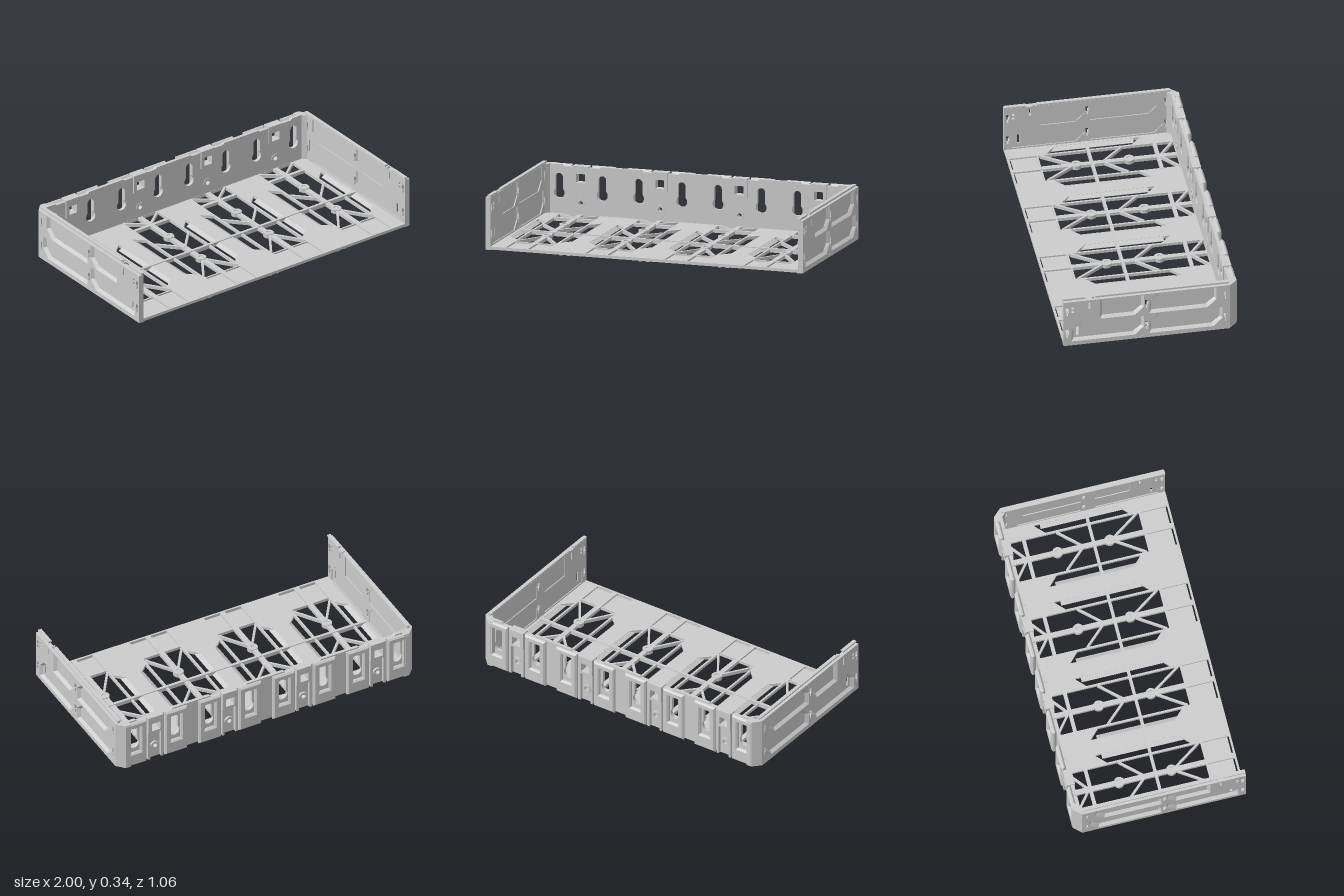
import * as THREE from 'three';

const MAT = new THREE.MeshStandardMaterial({ color: 0xcccccc, flatShading: true, side: THREE.DoubleSide });
const CELLS = [-0.75, -0.25, 0.25, 0.75];
const SIDES = [-1, 1];

function add(parent, name, geo, x = 0, y = 0, z = 0) {
  const m = new THREE.Mesh(geo, MAT);
  m.name = name;
  m.position.set(x, y, z);
  parent.add(m);
  return m;
}
// Box given by its limits
function box(parent, name, x0, x1, y0, y1, z0, z1) {
  return add(parent, name, new THREE.BoxGeometry(x1 - x0, y1 - y0, z1 - z0),
    (x0 + x1) / 2, (y0 + y1) / 2, (z0 + z1) / 2);
}
const poly = (pts) => new THREE.Shape(pts.map(([a, b]) => new THREE.Vector2(a, b)));
const rect = (x0, x1, y0, y1) => poly([[x0, y0], [x1, y0], [x1, y1], [x0, y1]]);
const circle = (x, y, r) => new THREE.Shape().absarc(x, y, r, 0, Math.PI * 2, false);
// Round entry below a narrower slot
function keyhole(x, y, r, w, top) {
  const a = Math.asin(w / r), s = new THREE.Shape();
  s.absarc(x, y, r, Math.PI / 2 + a, Math.PI * 2.5 - a, false);
  s.lineTo(x + w, top - w);
  s.absarc(x, top - w, w, 0, Math.PI, false);
  s.closePath();
  return s;
}
function extrude(shape, holes, depth, bevel = 0) {
  shape.holes.push(...holes);
  return new THREE.ExtrudeGeometry(shape, {
    depth, bevelEnabled: bevel > 0, bevelThickness: bevel, bevelSize: bevel, bevelSegments: 1, curveSegments: 8,
  });
}
// Flat bar between two points of the floor plan
function strut(parent, x0, z0, x1, z1, w = 0.014) {
  const dx = x1 - x0, dz = z1 - z0;
  const m = add(parent, 'diagonalStrut', new THREE.BoxGeometry(Math.hypot(dx, dz), 0.02, w), (x0 + x1) / 2, 0.013, (z0 + z1) / 2);
  m.rotation.y = -Math.atan2(dz, dx);
}

function buildFloor() {
  const g = new THREE.Group();
  g.name = 'floor';
  const holes = [];
  for (const c of CELLS) {
    holes.push(rect(c - 0.125, c + 0.125, -0.338, 0.478));
    holes.push(rect(c - 0.125, c + 0.125, -0.513, -0.348));
    for (const s of SIDES) {
      holes.push(poly([[c + s * 0.2, 0.29], [c + s * 0.138, 0.23], [c + s * 0.138, -0.285], [c + s * 0.2, -0.225]]));
    }
  }
  const plate = extrude(rect(-0.985, 0.985, -0.525, 0.49), holes, 0.018);
  plate.rotateX(-Math.PI / 2);
  add(g, 'floorPlate', plate, 0, 0.003, 0);

  for (const c of CELLS) {
    box(g, 'centreBar', c - 0.016, c + 0.016, 0.002, 0.022, -0.48, 0.515);
    box(g, 'rearCrossBar', c - 0.13, c + 0.13, 0.002, 0.022, -0.377, -0.355);
    for (const s of SIDES) {
      box(g, 'frontPanel', Math.min(c + s * 0.01, c + s * 0.125), Math.max(c + s * 0.01, c + s * 0.125), 0.002, 0.012, 0.345, 0.503);
      strut(g, c + s * 0.125, -0.165, c, -0.03);
      strut(g, c + s * 0.125, 0.325, c, 0.14);
      strut(g, c + s * 0.125, -0.475, c, -0.375);
      // Sloping outer wall of the side slot
      const wall = add(g, 'slotWall', new THREE.BoxGeometry(0.032, 0.004, 0.5), c + s * 0.188, 0.011, 0);
      wall.rotation.z = s * 0.5;
    }
    // Screw bosses
    for (const z of [-0.19, 0.13]) {
      const boss = extrude(circle(0, 0, 0.032), [circle(0, 0, 0.015)], 0.026);
      boss.rotateX(-Math.PI / 2);
      add(g, 'screwBoss', boss, c, 0.001, z);
    }
  }
  box(g, 'middleCrossRib', -0.965, 0.965, 0.001, 0.026, 0.025, 0.043);
  // Paired rails along the cell borders
  for (const x of [-0.5, 0, 0.5]) for (const s of SIDES) {
    box(g, 'bottomRail', x + s * 0.025 - 0.009, x + s * 0.025 + 0.009, 0, 0.012, -0.49, 0.525);
  }
  return g;
}

function buildBackWall() {
  const g = new THREE.Group();
  g.name = 'backWall';
  const outline = [[-0.965, 0.003], [0.965, 0.003], [0.965, 0.318]];
  for (const c of [...CELLS].reverse()) {
    outline.push([c + 0.125, 0.318], [c + 0.115, 0.308], [c - 0.115, 0.308], [c - 0.125, 0.318]);
  }
  outline.push([-0.965, 0.318]);
  const holes = [];
  for (const c of CELLS) {
    holes.push(rect(c - 0.028, c + 0.028, 0.215, 0.27), circle(c, 0.09, 0.022));
    for (const s of SIDES) holes.push(keyhole(c + s * 0.136, 0.147, 0.034, 0.024, 0.265));
  }
  add(g, 'backPlate', extrude(poly(outline), holes, 0.02), 0, 0, -0.5);

  for (const c of CELLS) {
    for (const s of SIDES) {
      const x = c + s * 0.136;
      const pocket = rect(x - 0.043, x + 0.043, 0.085, 0.285);
      add(g, 'keyholePad', extrude(rect(x - 0.065, x + 0.065, 0.014, 0.308), [pocket], 0.01, 0.01), 0, 0, -0.52);
      box(g, 'backRib', c + s * 0.044 - 0.008, c + s * 0.044 + 0.008, 0.005, 0.2, -0.522, -0.498);
    }
    const frame = extrude(rect(c - 0.05, c + 0.05, 0.2, 0.316), [rect(c - 0.028, c + 0.028, 0.215, 0.27)], 0.052);
    add(g, 'clipFrame', frame, 0, 0, -0.525);
    add(g, 'roundBoss', extrude(circle(c, 0.09, 0.029), [circle(c, 0.09, 0.014)], 0.036), 0, 0, -0.512);
  }
  return g;
}

// Right-angled panel outline with cut corners: top front and bottom rear
function panelOutline([z0, z1, y0, y1, cutTop]) {
  const k = 0.055;
  return [[z0 + k, y0], [z1, y0], ...(cutTop ? [[z1, y1 - k], [z1 - k, y1]] : [[z1, y1]]), [z0, y1], [z0, y0 + k]];
}
// Sloping rim from the wall face to the sunken panel
function bevelRim(outer, inner, depth) {
  const pos = [];
  outer.forEach((a, i) => {
    const j = (i + 1) % outer.length, b = outer[j], c = inner[j], d = inner[i];
    pos.push(...a, 0, ...b, 0, ...c, -depth, ...a, 0, ...c, -depth, ...d, -depth);
  });
  const geo = new THREE.BufferGeometry();
  geo.setAttribute('position', new THREE.Float32BufferAttribute(pos, 3));
  geo.computeVertexNormals();
  return geo;
}

function buildSideWall() {
  const g = new THREE.Group();
  g.name = 'sideWall';
  // Local plan: first axis is z, second is y, depth runs inward from the outer face
  const put = (name, geo, x) => add(g, name, geo.rotateY(-Math.PI / 2), x);
  const panels = [
    [0.04, 0.305, 0.175, 0.314, false], [-0.4, 0.007, 0.175, 0.314, true],
    [0.04, 0.477, 0.03, 0.163, true], [-0.435, 0.007, 0.03, 0.163, true],
  ];
  const holes = panels.map((p) => poly(panelOutline(p)));
  for (const z of [0.503, 0.024, -0.455]) for (const y of [0.062, 0.22]) {
    holes.push(poly([[z - 0.005, y], [z + 0.005, y], [z + 0.005, y + 0.02], [z + 0.01, y + 0.024], [z + 0.01, y + 0.056],
      [z - 0.01, y + 0.056], [z - 0.01, y + 0.024], [z - 0.005, y + 0.02]]));
  }
  holes.push(rect(0.364, 0.374, 0.256, 0.304), rect(0.463, 0.478, 0.24, 0.255), rect(0.463, 0.478, 0.265, 0.28));
  holes.push(rect(0.047, 0.053, 0.013, 0.026));
  put('wallFrame', extrude(rect(-0.48, 0.525, 0.003, 0.32), holes, 0.032), 1);

  for (const p of panels) {
    const [z0, z1, y0, y1] = p, cz = (z0 + z1) / 2, cy = (y0 + y1) / 2, b = 0.014;
    const outer = panelOutline(p);
    const inner = outer.map(([z, y]) => [cz + (z - cz) * (1 - 2 * b / (z1 - z0)), cy + (y - cy) * (1 - 2 * b / (y1 - y0))]);
    const slot = z1 > 0.4 ? [rect(0.432, 0.446, 0.06, 0.12)] : [];
    put('sunkenPanel', extrude(poly(outer), slot, 0.006), 0.98);
    const rim = bevelRim(outer, inner, 0.02);
    rim.rotateY(-Math.PI / 2).scale(-1, 1, 1);
    add(g, 'panelRim', rim, 1);
  }

  // Top lip with a gap near the front
  for (const [z0, z1] of [[-0.478, 0.33], [0.393, 0.525]]) {
    box(g, 'lipStem', 0.969, 0.981, 0.315, 0.33, z0, z1);
    box(g, 'lipCap', 0.963, 0.986, 0.327, 0.335, z0, z1);
  }
  box(g, 'latch', 0.965, 0.985, 0.318, 0.332, 0.34, 0.352);
  box(g, 'bottomSkirt', 0.96, 0.998, 0, 0.02, -0.478, 0.525);

  // Chamfered corner joining the back wall
  const post = extrude(poly([[1, 0.48], [0.955, 0.528], [0.92, 0.528], [0.92, 0.5], [0.945, 0.48], [0.968, 0.455], [1, 0.455]]), [], 0.314);
  post.rotateX(-Math.PI / 2);
  add(g, 'cornerPost', post, 0, 0.004, 0);
  return g;
}

export function createModel() {
  const model = new THREE.Group();
  model.name = 'tray';
  model.add(buildFloor(), buildBackWall());
  for (const s of SIDES) {
    const wall = buildSideWall();
    wall.name = s > 0 ? 'leftSideWall' : 'rightSideWall';
    wall.scale.x = s;
    model.add(wall);
  }
  return model;
}
